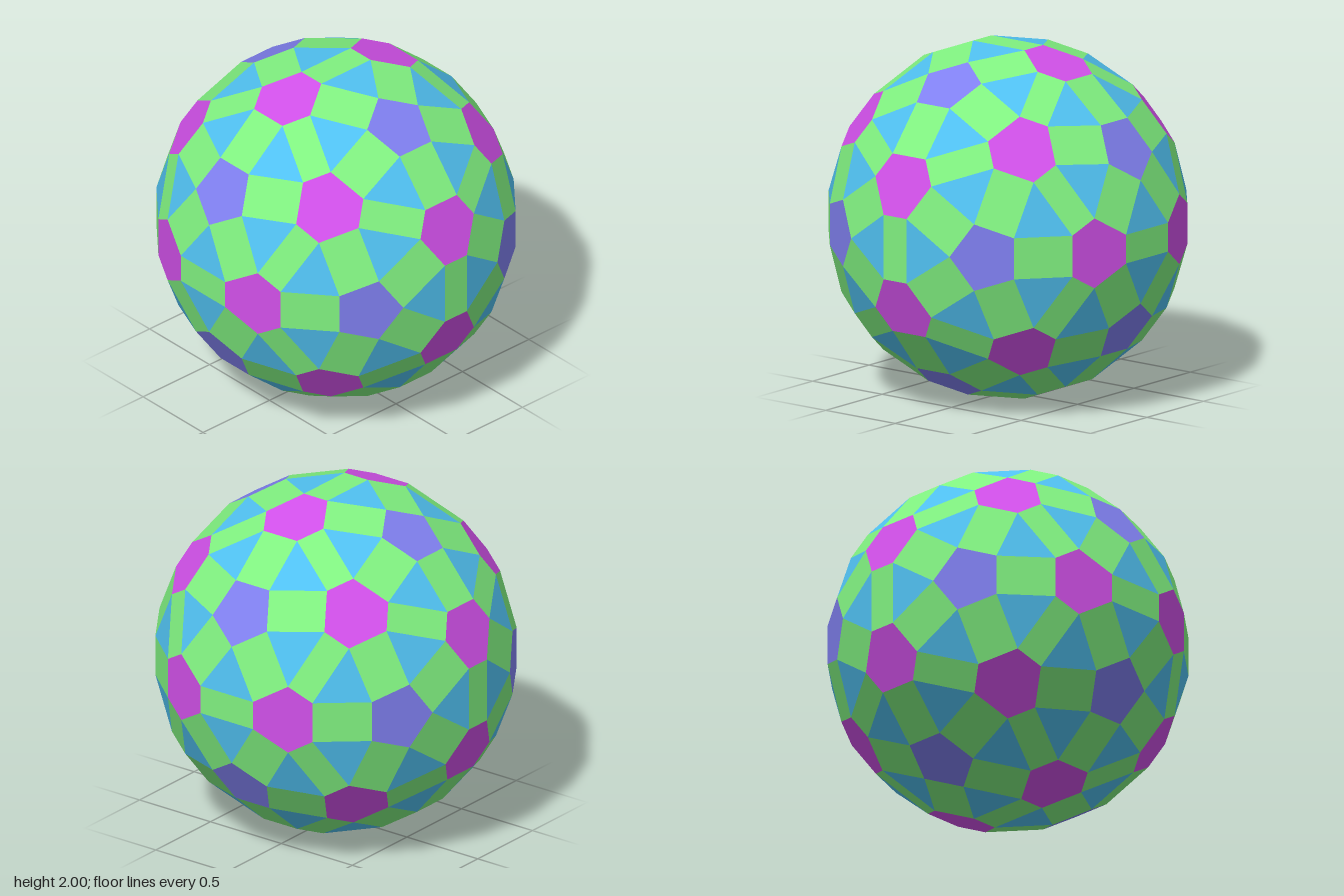
import * as THREE from 'three';

const PHI = (1 + Math.sqrt(5)) / 2;
const A = 0.236;  // edge shared (through a quad) by a pentagon and a hexagon
const B = 0.165;  // edge shared (through a quad) by two hexagons
const PENT_DIST = 0.9975, HEX_DIST = 1.0005; // face planes from the centre

// All sign choices of a triple, in its three cyclic orders
function directions(x, y, z, cyclic = true) {
  const out = [];
  for (const sx of x ? [1, -1] : [1])
    for (const sy of y ? [1, -1] : [1])
      for (const sz of z ? [1, -1] : [1]) {
        const v = [x * sx, y * sy, z * sz];
        for (let k = 0; k < (cyclic ? 3 : 1); k++)
          out.push(new THREE.Vector3(v[k], v[(k + 1) % 3], v[(k + 2) % 3]).normalize());
      }
  return out;
}

// Corners of the edge of face f that looks towards face g, anticlockwise from outside
function edge(f, g) {
  const t = g.n.clone().addScaledVector(f.n, -f.n.dot(g.n)).normalize();
  const s = f.n.clone().cross(t);
  const a = f.pent || g.pent;
  let reach = A / (2 * Math.tan(Math.PI / 5));
  if (!f.pent) reach = (a ? A + 2 * B : 2 * A + B) / (2 * Math.sqrt(3));
  const half = (a ? A : B) / 2;
  const mid = f.n.clone().multiplyScalar(f.pent ? PENT_DIST : HEX_DIST).addScaledVector(t, reach);
  return [mid.clone().addScaledVector(s, -half), mid.clone().addScaledVector(s, half)];
}

// One mesh from a list of convex polygons
function polygonMesh(name, polygons, color) {
  const points = [];
  for (const p of polygons)
    for (let i = 1; i < p.length - 1; i++) points.push(p[0], p[i], p[i + 1]);
  const geometry = new THREE.BufferGeometry().setFromPoints(points);
  geometry.computeVertexNormals();
  const mesh = new THREE.Mesh(geometry, new THREE.MeshStandardMaterial({ color, flatShading: true }));
  mesh.name = name;
  return mesh;
}

export function createModel() {
  const faces = [
    ...directions(1, 0, PHI).map(n => ({ n, pent: true })),
    ...directions(0, 1 / PHI, PHI).map(n => ({ n, pent: false })),
    ...directions(1, 1, 1, false).map(n => ({ n, pent: false })),
  ];

  // Neighbours of each face, sorted anticlockwise
  faces.forEach((f, i) => {
    f.id = i;
    const near = faces.filter(g => g !== f && g.n.dot(f.n) > 0.7);
    const u = near[0].n.clone().addScaledVector(f.n, -f.n.dot(near[0].n)).normalize();
    const v = f.n.clone().cross(u);
    const angle = g => Math.atan2(g.n.dot(v), g.n.dot(u));
    f.near = near.sort((p, q) => angle(p) - angle(q));
  });

  const pentagons = [], hexagons = [], quads = [], triangles = [];
  for (const f of faces) {
    (f.pent ? pentagons : hexagons).push(f.near.map(g => edge(f, g)[1]));
    f.near.forEach((g, k) => {
      const h = f.near[(k + 1) % f.near.length];
      // quad bridging two neighbouring faces
      if (f.id < g.id) {
        const [a0, a1] = edge(f, g), [b0, b1] = edge(g, f);
        quads.push([a1, a0, b1, b0]);
      }
      // triangle where three faces meet
      if (f.id < g.id && f.id < h.id)
        triangles.push([edge(f, g)[1], edge(g, h)[1], edge(h, f)[1]]);
    });
  }

  const group = new THREE.Group();
  group.name = 'polyhedron';
  group.add(
    polygonMesh('pentagons', pentagons, 0x8080f0),
    polygonMesh('hexagons', hexagons, 0xd050e8),
    polygonMesh('quads', quads, 0x80f080),
    polygonMesh('triangles', triangles, 0x50c0f0),
  );
  group.children.forEach(m => m.geometry.translate(0, 1, 0)); // stand on the ground
  return group;
}
